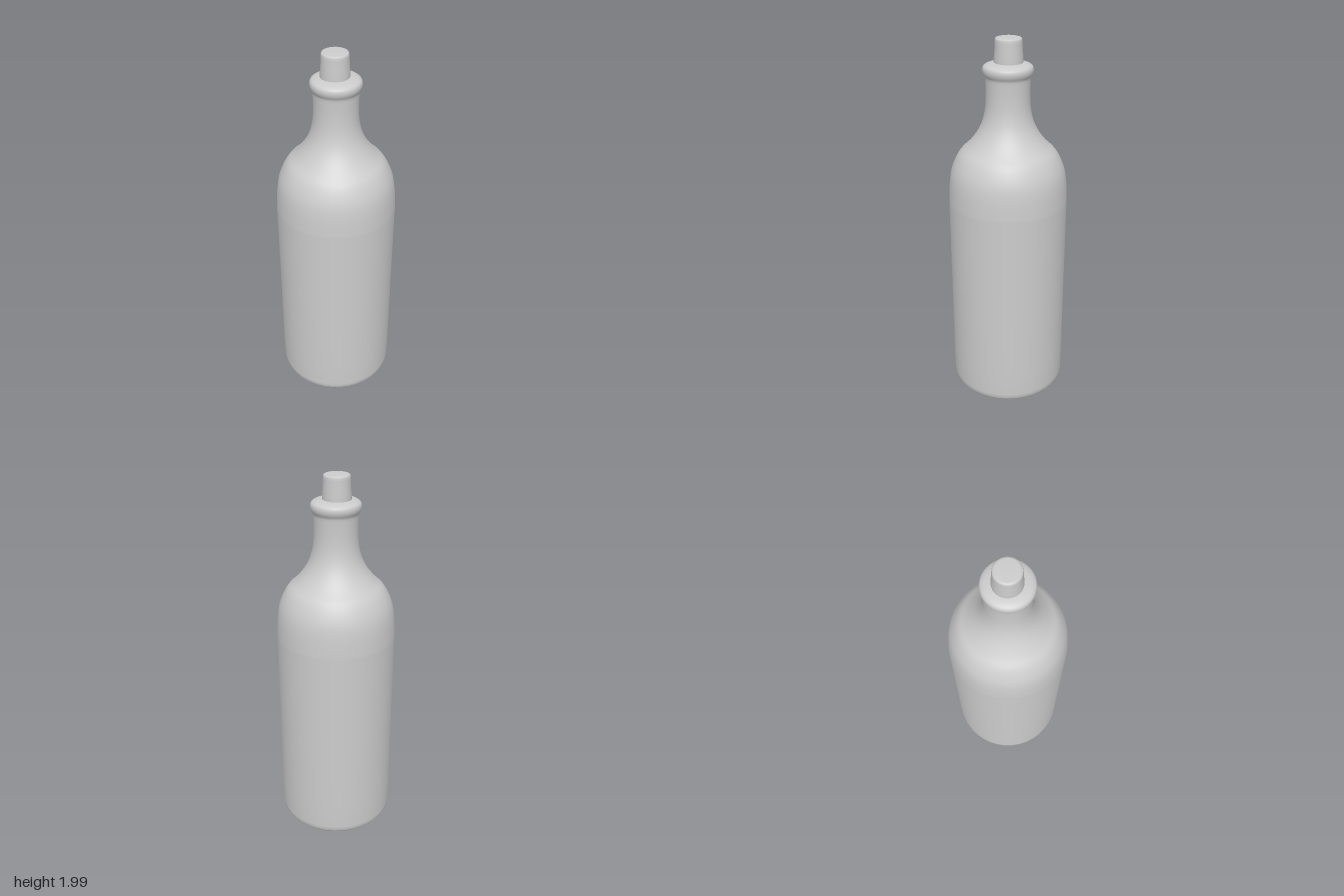
import * as THREE from 'three';

const material = new THREE.MeshStandardMaterial({ color: 0xcccccc });
const toPoints = (list) => list.map(([r, y]) => new THREE.Vector2(r, y));

// Surface of revolution from a bottom-to-top profile of [radius, height]
function turned(name, points, sides) {
  const mesh = new THREE.Mesh(new THREE.LatheGeometry(points, sides), material);
  mesh.name = name;
  return mesh;
}

export function createModel() {
  const group = new THREE.Group();
  group.name = 'bottle';

  // Flat base with a softly rounded foot
  const foot = toPoints([[0, 0.008], [0.26, 0.008], [0.285, 0.01], [0.303, 0.018], [0.314, 0.035], [0.317, 0.06]]);

  // Straight wall, rounded shoulder and waisted neck
  const wall = toPoints([[0.318, 0.2], [0.317, 0.7], [0.317, 1.14]]);
  const shoulder = new THREE.SplineCurve(toPoints([
    [0.317, 1.15], [0.31, 1.25], [0.294, 1.33], [0.257, 1.405], [0.208, 1.455],
    [0.165, 1.51], [0.135, 1.57], [0.118, 1.64], [0.113, 1.72], [0.115, 1.8],
  ])).getPoints(36);

  // Bulging lip, closed inward under the cork
  const lip = new THREE.SplineCurve(toPoints([
    [0.117, 1.808], [0.126, 1.825], [0.129, 1.842], [0.125, 1.858], [0.112, 1.868], [0.09, 1.875], [0.06, 1.88],
  ])).getPoints(18);
  group.add(turned('bottleBody', [...foot, ...wall, ...shoulder, ...lip], 40));

  // Slightly tapered cork, set a little off centre
  const cork = turned('cork', toPoints([
    [0.074, 1.86], [0.074, 1.9], [0.07, 1.94], [0.069, 1.975], [0.068, 1.99],
    [0.065, 1.997], [0.055, 2.0], [0, 2.0],
  ]), 24);
  cork.position.set(-0.004, 0, -0.003);
  group.add(cork);

  return group;
}
